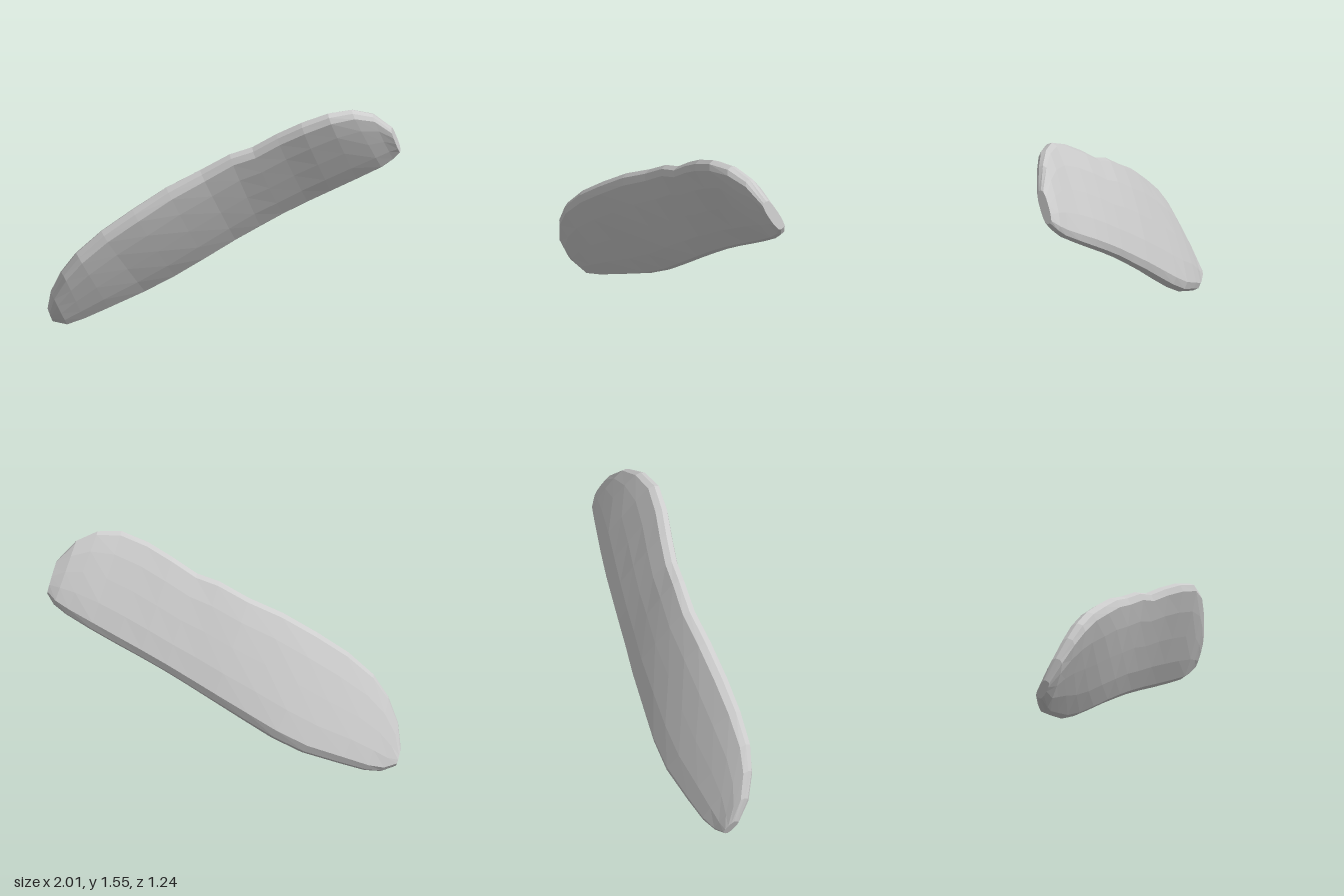
import * as THREE from 'three';

// Each station: upper edge x, y, z, lower edge x, y, z, half thickness
const STATIONS = [
  [-0.98, 0.13, -0.56, -0.92, 0.04, -0.61, 0.03],
  [-1.0, 0.28, -0.49, -0.83, 0.01, -0.58, 0.05],
  [-0.97, 0.44, -0.41, -0.72, 0.03, -0.56, 0.06],
  [-0.9, 0.58, -0.34, -0.56, 0.09, -0.51, 0.07],
  [-0.76, 0.73, -0.26, -0.33, 0.18, -0.43, 0.075],
  [-0.58, 0.87, -0.17, -0.16, 0.28, -0.34, 0.08],
  [-0.38, 1.01, -0.08, 0.0, 0.4, -0.235, 0.08],
  [-0.18, 1.12, 0.01, 0.17, 0.53, -0.125, 0.075],
  [-0.02, 1.23, 0.11, 0.3, 0.63, -0.03, 0.07],
  [0.1, 1.28, 0.19, 0.42, 0.72, 0.055, 0.07],
  [0.22, 1.38, 0.29, 0.55, 0.81, 0.15, 0.07],
  [0.34, 1.47, 0.4, 0.67, 0.89, 0.24, 0.07],
  [0.48, 1.54, 0.5, 0.8, 0.98, 0.345, 0.065],
  [0.63, 1.55, 0.55, 0.92, 1.07, 0.45, 0.06],
  [0.77, 1.5, 0.58, 0.98, 1.13, 0.5, 0.05],
  [0.9, 1.38, 0.6, 1.0, 1.19, 0.55, 0.035],
];

// Cross-section: across the width and through the thickness, front half then back half
const FRONT = [[1, 0.3], [0.9, 0.72], [0.5, 0.95], [0, 1], [-0.5, 0.95], [-0.9, 0.72], [-1, 0.3]];
const SECTION = [...FRONT, ...FRONT.map(([w, t]) => [-w, -t])];

function bladeGeometry() {
  const rows = STATIONS.map((s) => {
    const upper = new THREE.Vector3(s[0], s[1], s[2]);
    const lower = new THREE.Vector3(s[3], s[4], s[5]);
    return {
      mid: upper.clone().add(lower).multiplyScalar(0.5),
      half: upper.clone().sub(lower).multiplyScalar(0.5),
      thick: s[6],
    };
  });
  const n = SECTION.length, last = rows.length - 1;
  const positions = [], index = [];

  rows.forEach(({ mid, half, thick }, i) => {
    const along = rows[Math.min(i + 1, last)].mid.clone().sub(rows[Math.max(i - 1, 0)].mid);
    const normal = along.cross(half).normalize();
    for (const [w, t] of SECTION) {
      const p = mid.clone().addScaledVector(half, w).addScaledVector(normal, t * thick);
      positions.push(p.x, p.y, p.z);
    }
  });
  // End centres
  positions.push(...rows[0].mid.toArray(), ...rows[last].mid.toArray());
  const startCentre = rows.length * n, endCentre = startCentre + 1;

  for (let j = 0; j < n; j++) {
    const k = (j + 1) % n;
    for (let i = 0; i < last; i++) {
      const a = i * n + j, b = i * n + k;
      index.push(a, b, b + n, a, b + n, a + n);
    }
    index.push(startCentre, k, j, endCentre, last * n + j, last * n + k);
  }

  const indexed = new THREE.BufferGeometry();
  indexed.setAttribute('position', new THREE.Float32BufferAttribute(positions, 3));
  indexed.setIndex(index);
  const geometry = indexed.toNonIndexed();
  geometry.computeVertexNormals();
  return geometry;
}

export function createModel() {
  const group = new THREE.Group();
  group.name = 'waistedBlade';
  const grey = new THREE.MeshStandardMaterial({ color: 0xcccccc, flatShading: true });
  grey.name = 'light grey';
  const blade = new THREE.Mesh(bladeGeometry(), grey);
  blade.name = 'blade';
  group.add(blade);
  // Stand on the ground and centre
  const box = new THREE.Box3().setFromObject(group);
  const c = box.getCenter(new THREE.Vector3());
  blade.position.set(-c.x, -box.min.y, -c.z);
  return group;
}
